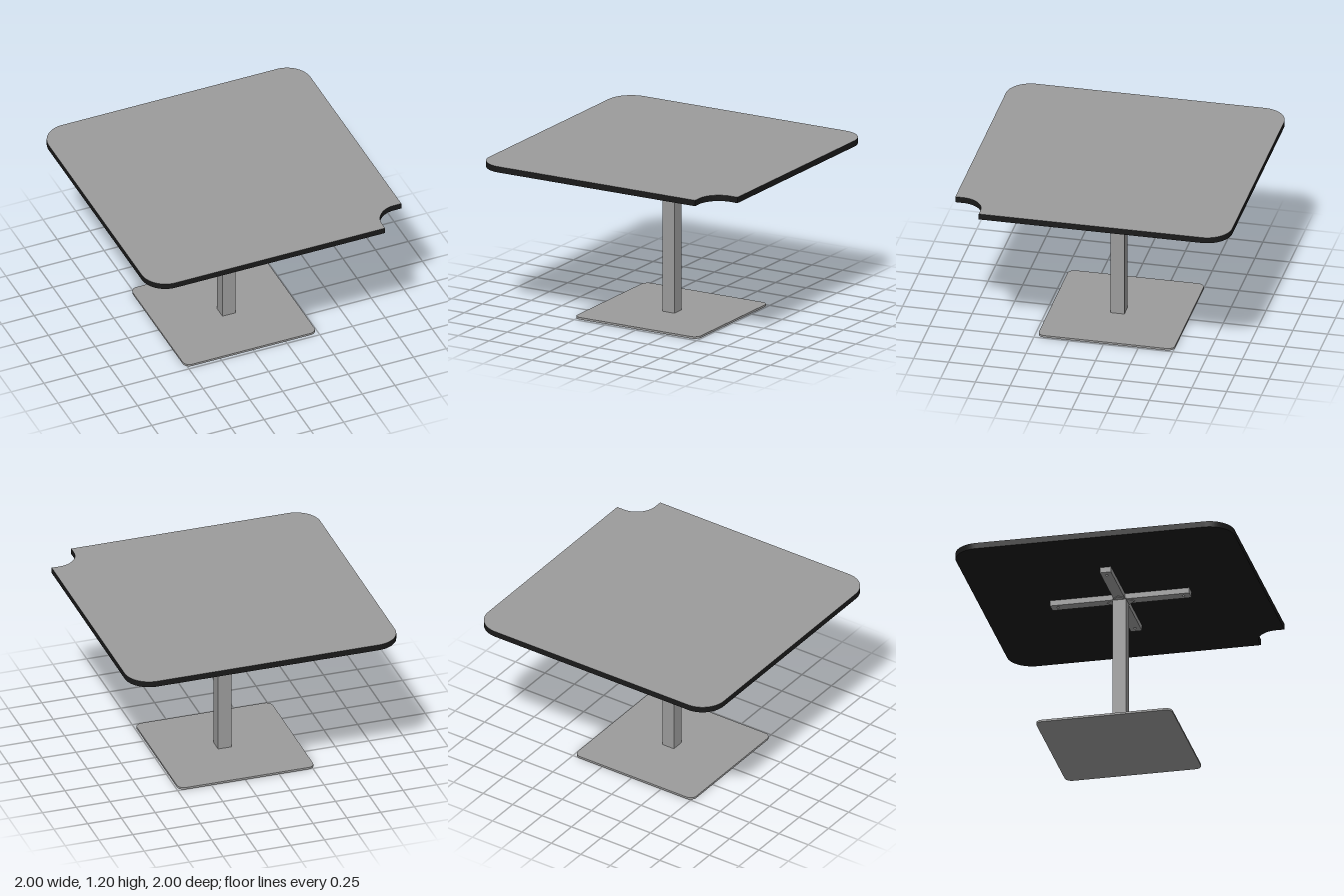
import * as THREE from 'three';

const grey = new THREE.MeshStandardMaterial({ color: 0x9b9b9b });
const black = new THREE.MeshStandardMaterial({ color: 0x1a1a1a });

// Plan shape (x, z) extruded downwards from height "top" to "bottom"
function slab(name, shape, bottom, top, material = grey) {
  const geometry = new THREE.ExtrudeGeometry(shape, {
    depth: top - bottom, bevelEnabled: false, curveSegments: 16,
  });
  geometry.rotateX(Math.PI / 2);
  geometry.translate(0, top, 0);
  const mesh = new THREE.Mesh(geometry, material);
  mesh.name = name;
  return mesh;
}

// Rectangle with rounded corners
function roundedRect(x0, x1, z0, z1, r) {
  const s = new THREE.Shape();
  s.absarc(x1 - r, z1 - r, r, 0, Math.PI / 2);
  s.absarc(x0 + r, z1 - r, r, Math.PI / 2, Math.PI);
  s.absarc(x0 + r, z0 + r, r, Math.PI, Math.PI * 1.5);
  s.absarc(x1 - r, z0 + r, r, Math.PI * 1.5, Math.PI * 2);
  s.closePath();
  return s;
}

// Table top outline: three round corners and a notch cut from the fourth
function topOutline() {
  const r = 0.18, n = 0.783, nr = 0.16;
  const s = new THREE.Shape();
  s.moveTo(1, n);
  s.lineTo(n + nr, n);
  s.absarc(n + nr, n + nr, nr, Math.PI * 1.5, Math.PI, true);
  s.lineTo(n, 1);
  s.absarc(-1 + r, 1 - r, r, Math.PI / 2, Math.PI);
  s.absarc(-1 + r, -1 + r, r, Math.PI, Math.PI * 1.5);
  s.absarc(1 - r, -1 + r, r, Math.PI * 1.5, Math.PI * 2);
  s.closePath();
  return s;
}

// Four-armed support with a screw hole near the end of each arm
function crossOutline() {
  const w = 0.04, l = 0.5, points = [];
  const holes = [];
  for (let i = 0; i < 4; i++) {
    const a = i * Math.PI / 2, origin = new THREE.Vector2();
    for (const [x, z] of [[w, -w], [l, -w], [l, w]]) {
      points.push(new THREE.Vector2(x, z).rotateAround(origin, a));
    }
    const hole = new THREE.Path();
    hole.absarc(0.45 * Math.cos(a), 0.45 * Math.sin(a), 0.01, 0, Math.PI * 2, true);
    holes.push(hole);
  }
  const s = new THREE.Shape(points);
  s.holes = holes;
  return s;
}

export function createModel() {
  const table = new THREE.Group();
  table.name = 'pedestalTable';

  // Top: dark core with a very thin grey surface
  table.add(slab('tabletopCore', topOutline(), 1.157, 1.1995, black));
  table.add(slab('tabletopSurface', topOutline(), 1.1995, 1.2));

  // Support under the top
  table.add(slab('supportArms', crossOutline(), 1.117, 1.157));
  const d = 0.1;
  const diamond = new THREE.Shape([[d, 0], [0, d], [-d, 0], [0, -d]].map((p) => new THREE.Vector2(...p)));
  table.add(slab('mountingPlate', diamond, 1.111, 1.117));

  // Square column
  const column = new THREE.Mesh(new THREE.BoxGeometry(0.098, 1.096, 0.098), grey);
  column.name = 'column';
  column.position.y = 0.015 + 1.096 / 2;
  table.add(column);

  // Foot plate, slightly off centre
  table.add(slab('footPlate', roundedRect(-0.517, 0.489, -0.502, 0.477, 0.05), 0, 0.015));

  return table;
}
